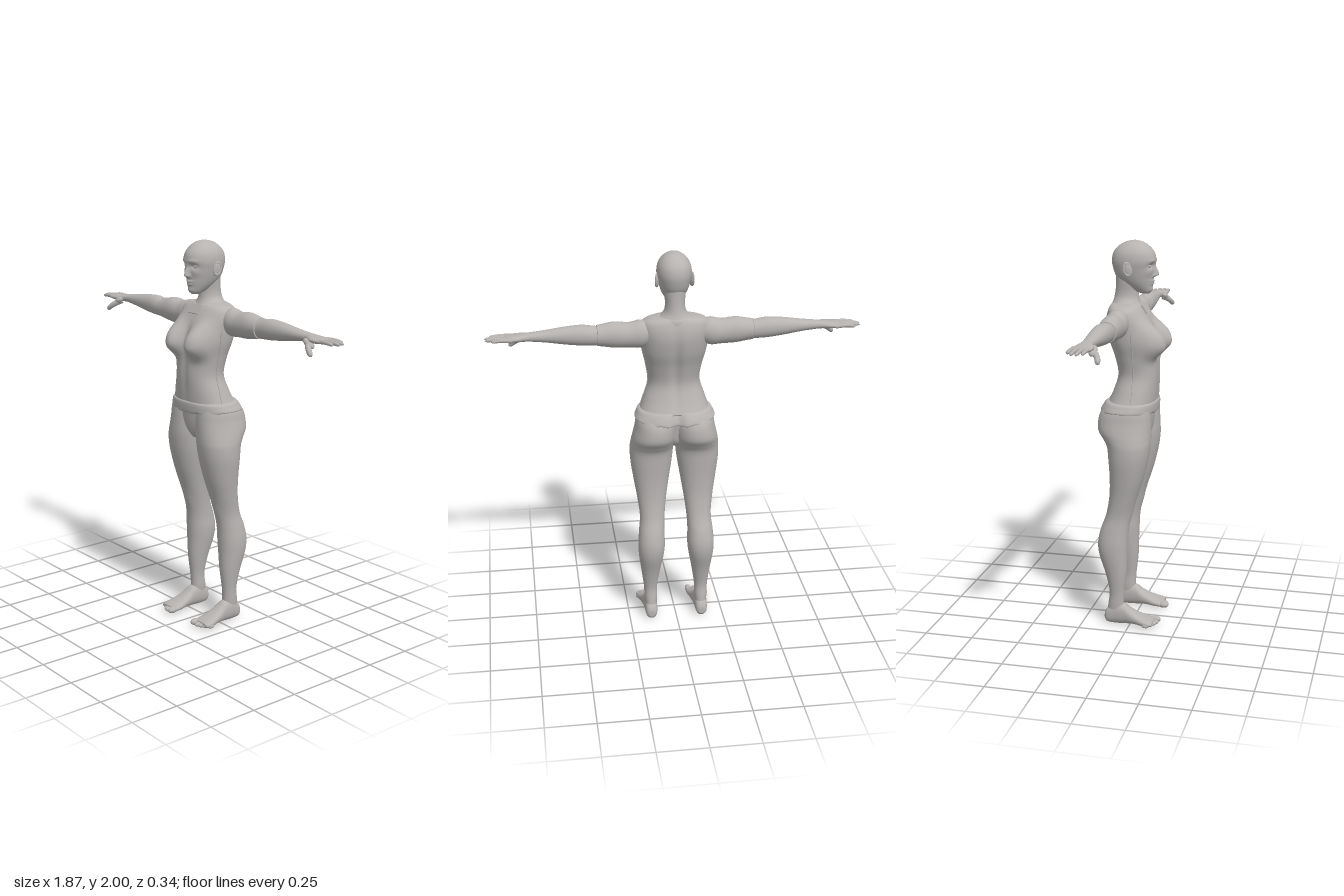
import * as THREE from 'three';
import { mergeVertices } from 'three/addons/utils/BufferGeometryUtils.js';

const body = new THREE.MeshStandardMaterial({ color: 0xb6b3b1 });
body.name = 'grey';

// Skin over cross-sections [t, uMin, uMax, vMin, vMax] with t rising along one axis.
const AXES = {
  y: (t, u, v) => [u, t, v], // u = x, v = z
  x: (t, u, v) => [t, v, u], // u = z, v = y
  z: (t, u, v) => [v, u, t], // u = y, v = x
};
function loft(axis, sections, { power = 2, sides = 40, sub = 6, deform } = {}) {
  const cr = (a, b, c, d, s) =>
    0.5 * (2 * b + (c - a) * s + (2 * a - 5 * b + 4 * c - d) * s * s + (3 * b - a - 3 * c + d) * s ** 3);
  const n = sections.length, rows = [];
  for (let i = 0; i < n - 1; i++) {
    const p = [Math.max(i - 1, 0), i, i + 1, Math.min(i + 2, n - 1)].map(k => sections[k]);
    for (let j = 0; j < sub; j++) rows.push(p[0].map((_, k) => cr(p[0][k], p[1][k], p[2][k], p[3][k], j / sub)));
  }
  rows.push(sections[n - 1]);
  const point = ([t, a, b, c, d]) => [t, (a + b) / 2, (a + b) / 2, (c + d) / 2, (c + d) / 2];
  rows.unshift(point(rows[0]));
  rows.push(point(rows[rows.length - 1]));
  const pos = [], index = [], bend = w => Math.sign(w) * Math.abs(w) ** (2 / power);
  rows.forEach(([t, u0, u1, v0, v1], r) => {
    for (let k = 0; k < sides; k++) {
      const a = (k / sides) * Math.PI * 2;
      const p = AXES[axis](t, (u0 + u1) / 2 + ((u1 - u0) / 2) * bend(Math.cos(a)),
        (v0 + v1) / 2 + ((v1 - v0) / 2) * bend(Math.sin(a)));
      pos.push(...(deform ? deform(...p) : p));
      if (r === 0) continue;
      const b = (r - 1) * sides, k2 = (k + 1) % sides, c = r * sides;
      index.push(b + k, c + k, b + k2, b + k2, c + k, c + k2);
    }
  });
  const g = new THREE.BufferGeometry();
  g.setAttribute('position', new THREE.Float32BufferAttribute(pos, 3));
  g.setIndex(index);
  g.computeVertexNormals();
  return g;
}

// Symmetric sections [y, halfWidth, zBack, zFront]
const sym = list => list.map(([y, w, b, f]) => [y, -w, w, b, f]);
const bump = (dx, dy, p = 2) => Math.exp(-(Math.hypot(dx, dy) ** p));

function ellipsoid(x, y, z, rx, ry, rz) {
  return new THREE.SphereGeometry(1, 20, 14).scale(rx, ry, rz).translate(x, y, z);
}
// Tapered round-ended finger along a bent path
function digit(points, r) {
  const curve = new THREE.CatmullRomCurve3(points.map(p => new THREE.Vector3(...p)));
  const g = new THREE.TubeGeometry(curve, 14, 1, 10);
  const p = g.attributes.position, v = new THREE.Vector3();
  for (let i = 0; i < p.count; i++) {
    const t = Math.floor(i / 11) / 14, c = curve.getPointAt(t);
    const s = r * (1 - 0.3 * t) * Math.sqrt(Math.max(0, 1 - Math.max(0, (t - 0.82) / 0.18) ** 2));
    v.fromBufferAttribute(p, i).sub(c).multiplyScalar(s).add(c);
    p.setXYZ(i, v.x, v.y, v.z);
  }
  g.deleteAttribute('uv');
  g.deleteAttribute('normal');
  const m = mergeVertices(g, 1e-5);
  m.computeVertexNormals();
  return m;
}
function mirrored(g) {
  const m = g.clone().scale(-1, 1, 1), ix = m.index.array;
  for (let i = 0; i < ix.length; i += 3) [ix[i], ix[i + 1]] = [ix[i + 1], ix[i]];
  m.computeVertexNormals();
  return m;
}

export function createModel() {
  const model = new THREE.Group();
  model.name = 'figure';
  const add = (name, g) => {
    const m = new THREE.Mesh(g, body);
    m.name = name;
    model.add(m);
  };
  const pair = (name, g) => { add('left' + name, g); add('right' + name, mirrored(g)); };

  // Head with modelled face
  add('head', loft('y', sym([
    [1.736, 0.018, 0.03, 0.066], [1.75, 0.034, -0.01, 0.079], [1.785, 0.056, -0.065, 0.085],
    [1.82, 0.07, -0.1, 0.089], [1.86, 0.08, -0.116, 0.094], [1.9, 0.086, -0.122, 0.101],
    [1.94, 0.08, -0.113, 0.093], [1.972, 0.06, -0.086, 0.066], [1.992, 0.032, -0.05, 0.034],
    [2.0, 0.004, -0.012, 0.0],
  ]), {
    sides: 112, sub: 10, power: 2.1,
    deform: (x, y, z) => {
      if (z < 0.03) return [x, y, z];
      const ax = Math.abs(x);
      let d = -0.012 * bump((ax - 0.034) / 0.02, (y - 1.878) / 0.013);
      d += 0.004 * bump((ax - 0.035) / 0.025, (y - 1.903) / 0.008);
      d += 0.027 * bump(x / 0.011, (y - 1.832) / (y > 1.832 ? 0.034 : 0.01));
      d += 0.007 * bump((ax - 0.012) / 0.007, (y - 1.827) / 0.008);
      d += 0.008 * bump(x / 0.022, (y - 1.801) / 0.006) + 0.008 * bump(x / 0.018, (y - 1.787) / 0.007);
      d += 0.005 * bump(x / 0.02, (y - 1.757) / 0.012);
      d += 0.004 * bump((ax - 0.045) / 0.018, (y - 1.845) / 0.018);
      return [x, y, z + d];
    },
  }));
  pair('Eye', ellipsoid(0.034, 1.878, 0.073, 0.015, 0.0075, 0.01));
  const lid = new THREE.TorusGeometry(0.016, 0.0022, 8, 24).scale(1, 0.55, 1);
  pair('Eyelid', lid.rotateY(0.35).translate(0.034, 1.878, 0.079));
  // Ears
  pair('Ear', ellipsoid(0, 0, 0, 0.009, 0.036, 0.021).rotateX(-0.15).rotateY(-0.25).translate(0.084, 1.862, -0.022));
  pair('EarRim', new THREE.TorusGeometry(0.019, 0.005, 8, 24).scale(1, 1.6, 1)
    .rotateY(Math.PI / 2 - 0.3).rotateX(-0.15).translate(0.087, 1.864, -0.024));

  // Neck, flaring into the shoulders and running up into the skull
  add('neck', loft('y', sym([
    [1.64, 0.125, -0.132, 0.045], [1.675, 0.104, -0.127, 0.031], [1.69, 0.076, -0.119, 0.023],
    [1.715, 0.055, -0.111, 0.015], [1.75, 0.049, -0.105, 0.014], [1.8, 0.052, -0.102, 0.02],
    [1.85, 0.05, -0.102, 0.01],
  ])));

  // Torso with bust and spine groove
  add('torso', loft('y', sym([
    [1.185, 0.178, -0.135, 0.11], [1.25, 0.155, -0.107, 0.115], [1.33, 0.131, -0.086, 0.119],
    [1.42, 0.142, -0.102, 0.114], [1.5, 0.16, -0.128, 0.104], [1.57, 0.168, -0.142, 0.088],
    [1.62, 0.172, -0.142, 0.068], [1.66, 0.165, -0.132, 0.045], [1.68, 0.135, -0.122, 0.028],
    [1.69, 0.085, -0.113, 0.016],
  ]), {
    sides: 128, sub: 8, power: 2.3,
    deform: (x, y, z) => {
      const ax = Math.abs(x);
      if (z > 0) {
        z += Math.min(1, z / 0.05) * 0.074 * bump((ax - 0.09) / 0.068, (y - 1.497) / (y > 1.497 ? 0.092 : 0.068), 2.8);
        z -= 0.006 * bump(x / 0.025, (y - 1.35) / 0.13);
      } else z += 0.014 * bump(x / 0.025, (y - 1.42) / 0.2) * Math.min(1, -z / 0.05);
      return [x, y, z];
    },
  }));
  // Neckline tab and side seams
  add('neckTab', new THREE.BoxGeometry(0.08, 0.05, 0.009).rotateX(-0.58).translate(0, 1.659, 0.05));
  const seam = [[0.176, 1.19], [0.155, 1.25], [0.132, 1.33], [0.142, 1.42], [0.16, 1.5], [0.168, 1.56]];
  pair('SideSeam', new THREE.TubeGeometry(new THREE.CatmullRomCurve3(
    seam.map(([x, y]) => new THREE.Vector3(x - 0.0005, y, 0.014))), 40, 0.003, 6));

  // Waistband: scalloped lower edge, cleft at the back
  add('waistband', loft('y', sym([
    [1.132, 0.188, -0.15, 0.095], [1.137, 0.204, -0.172, 0.112], [1.165, 0.199, -0.164, 0.116],
    [1.19, 0.188, -0.148, 0.115], [1.197, 0.172, -0.135, 0.106],
  ]), {
    sides: 96, power: 2.35,
    deform: (x, y, z) => {
      const low = Math.max(0, (1.175 - y) / 0.04);
      const wave = 0.008 * bump((Math.abs(x) - 0.085) / 0.02, 0) + 0.016 * bump((Math.abs(x) - 0.2) / 0.05, 0);
      return [x, y + low * wave, z < -0.05 ? z + 0.032 * bump(x / 0.028, 0) : z];
    },
  }));

  // Pelvis between the thighs
  add('pelvis', loft('y', sym([
    [0.985, 0.012, -0.05, 0.03], [0.997, 0.03, -0.075, 0.058], [1.03, 0.07, -0.1, 0.082],
    [1.09, 0.13, -0.11, 0.094], [1.17, 0.17, -0.12, 0.098],
  ])));

  // Legs
  pair('Leg', loft('y', [
    [0.04, 0.108, 0.162, -0.125, -0.03], [0.11, 0.101, 0.168, -0.117, -0.034], [0.18, 0.1, 0.171, -0.11, -0.031],
    [0.28, 0.085, 0.184, -0.131, -0.02], [0.38, 0.067, 0.197, -0.163, -0.017], [0.45, 0.06, 0.2, -0.17, -0.014],
    [0.52, 0.062, 0.194, -0.156, -0.01], [0.6, 0.058, 0.187, -0.128, 0.002], [0.7, 0.046, 0.198, -0.11, 0.034],
    [0.8, 0.03, 0.214, -0.107, 0.066], [0.9, 0.014, 0.228, -0.113, 0.09], [0.97, 0.006, 0.23, -0.121, 0.1],
    [1.01, 0.0, 0.225, -0.143, 0.102], [1.05, -0.002, 0.217, -0.169, 0.102], [1.1, -0.002, 0.205, -0.171, 0.101],
    [1.14, 0.0, 0.198, -0.16, 0.099], [1.18, 0.0, 0.185, -0.135, 0.095],
  ], { sides: 48, power: 2.15, deform: (x, y, z) => // kneecap
    [x, y, z > -0.06 ? z + 0.007 * bump((x - 0.122) / 0.035, (y - 0.61) / 0.05) : z] }));

  // Feet and toes
  pair('Foot', loft('z', [
    [-0.135, 0.02, 0.055, 0.12, 0.15], [-0.12, 0.004, 0.085, 0.106, 0.164], [-0.075, 0.0, 0.118, 0.101, 0.169],
    [-0.03, 0.002, 0.112, 0.098, 0.172], [0.0, 0.005, 0.09, 0.094, 0.177], [0.035, 0.007, 0.069, 0.089, 0.184],
    [0.075, 0.004, 0.052, 0.083, 0.193], [0.11, 0.006, 0.041, 0.082, 0.196], [0.125, 0.012, 0.034, 0.09, 0.188],
  ], { power: 2.3 }));
  for (let i = 0; i < 5; i++) {
    const r = i ? 0.013 - i * 0.0006 : 0.017;
    const x = i ? 0.106 + i * 0.0205 : 0.097;
    pair('Toe' + (i + 1), ellipsoid(x, 0.006 + r, 0.128 - i * i * 0.0022, r, r, 0.028 - i * 0.002));
  }

  // Sleeves, forearms and palms: sections [x, zMin, zMax, yMin, yMax]
  pair('Sleeve', loft('x', [
    [0.12, -0.1, -0.015, 1.56, 1.655], [0.17, -0.115, 0.002, 1.535, 1.675], [0.23, -0.112, 0.001, 1.537, 1.664],
    [0.3, -0.11, 0.0, 1.539, 1.67], [0.36, -0.106, -0.003, 1.548, 1.66], [0.388, -0.105, -0.004, 1.552, 1.655],
  ]));
  pair('Forearm', loft('x', [
    [0.36, -0.1, -0.01, 1.558, 1.648], [0.4, -0.1, -0.01, 1.556, 1.652], [0.46, -0.102, -0.008, 1.558, 1.66],
    [0.54, -0.098, -0.012, 1.567, 1.655], [0.63, -0.09, -0.02, 1.581, 1.643], [0.71, -0.085, -0.026, 1.59, 1.634],
    [0.74, -0.087, -0.02, 1.591, 1.632], [0.775, -0.096, -0.007, 1.592, 1.628], [0.825, -0.104, -0.008, 1.597, 1.623],
    [0.84, -0.1, -0.012, 1.602, 1.619],
  ], { power: 2.1 }));
  // Fingers and thumb
  [[-0.021, 0.915], [-0.045, 0.935], [-0.07, 0.932], [-0.094, 0.902]].forEach(([z, tip], i) =>
    pair('Finger' + (i + 1), digit([[0.8, 1.609, z], [0.86, 1.612, z - 0.002], [tip, 1.607, z - 0.004]], 0.0115)));
  pair('ThumbBase', ellipsoid(0, 0, 0, 0.036, 0.017, 0.02).rotateZ(-0.5).translate(0.762, 1.594, -0.016));
  pair('Thumb', digit([[0.745, 1.6, -0.03], [0.772, 1.582, -0.003], [0.795, 1.564, 0.012], [0.818, 1.543, 0.019]], 0.017));

  return model;
}
